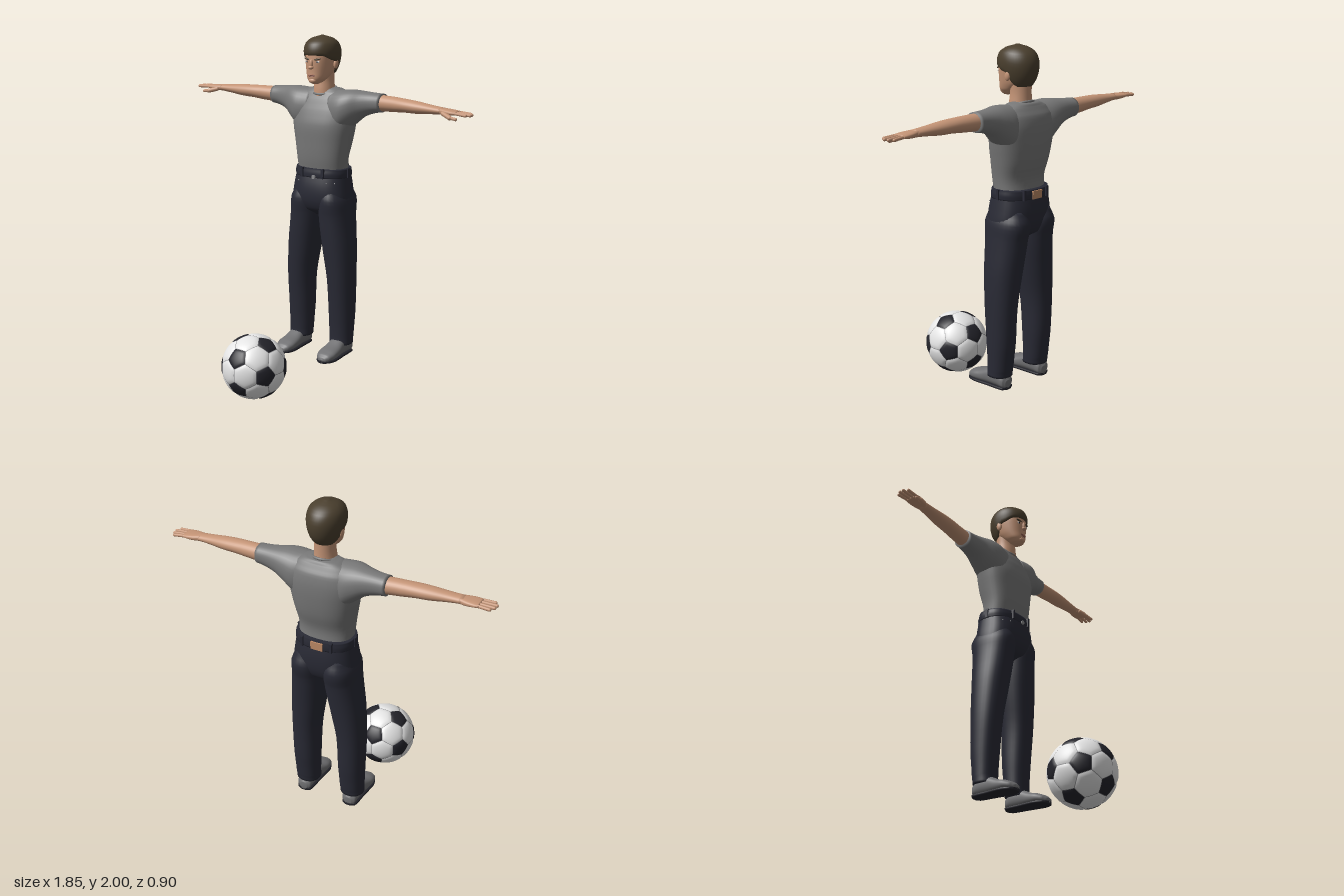
import * as THREE from 'three';
import { mergeVertices, mergeGeometries } from 'three/addons/utils/BufferGeometryUtils.js';

const V = (x, y, z) => new THREE.Vector3(x, y, z);
const material = (name, color) => {
  const m = new THREE.MeshStandardMaterial({ color });
  m.name = name;
  return m;
};

// Catmull-Rom smoothing of a table of cross-section rows
function smooth(rows, steps = 4) {
  const out = [];
  for (let i = 0; i < rows.length - 1; i++) {
    const p = [rows[Math.max(i - 1, 0)], rows[i], rows[i + 1], rows[Math.min(i + 2, rows.length - 1)]];
    for (let k = 0; k < steps; k++) {
      const t = k / steps;
      out.push(rows[i].map((_, c) => {
        const [a, b, d, e] = p.map(r => r[c]);
        if (c === 0) return b + (d - b) * t;
        return b + 0.5 * t * (d - a + t * (2 * a - 5 * b + 4 * d - e + t * (3 * (b - d) + e - a)));
      }));
    }
  }
  out.push(rows[rows.length - 1]);
  return out;
}

// Linear lookup in a table sorted by its first column
function sample(rows, t) {
  let i = 0;
  while (i < rows.length - 2 && rows[i + 1][0] < t) i++;
  const k = THREE.MathUtils.clamp((t - rows[i][0]) / (rows[i + 1][0] - rows[i][0]), 0, 1);
  return rows[i].map((v, c) => v + (rows[i + 1][c] - v) * k);
}

// Closed, outward-facing skin over rings of points
function skinRings(rings) {
  const n = rings[0].length, pts = rings.flat(), idx = [];
  for (let r = 0; r < rings.length - 1; r++) for (let i = 0; i < n; i++) {
    const a = r * n + i, b = r * n + (i + 1) % n;
    idx.push(a, b, a + n, b, b + n, a + n);
  }
  for (const [r, flip] of [[0, true], [rings.length - 1, false]]) {
    const c = pts.length;
    pts.push(rings[r].reduce((s, p) => s.add(p), V(0, 0, 0)).divideScalar(n));
    for (let i = 0; i < n; i++) {
      const a = r * n + i, b = r * n + (i + 1) % n;
      flip ? idx.push(c, b, a) : idx.push(c, a, b);
    }
  }
  let volume = 0;
  for (let i = 0; i < idx.length; i += 3)
    volume += pts[idx[i]].dot(V(0, 0, 0).crossVectors(pts[idx[i + 1]], pts[idx[i + 2]]));
  if (volume < 0) idx.reverse();
  const g = new THREE.BufferGeometry().setFromPoints(pts);
  g.setIndex(idx);
  g.computeVertexNormals();
  return g;
}

// Superellipse sections along an axis; row = [position, min1, max1, min2, max2]
function loft(axis, rows, power = 2, segments = 32) {
  return skinRings(smooth(rows).map(([t, a0, a1, b0, b1]) => Array.from({ length: segments }, (_, i) => {
    const q = i / segments * Math.PI * 2, c = Math.cos(q), s = Math.sin(q);
    const a = (a0 + a1) / 2 + (a1 - a0) / 2 * Math.sign(c) * Math.abs(c) ** (2 / power);
    const b = (b0 + b1) / 2 + (b1 - b0) / 2 * Math.sign(s) * Math.abs(s) ** (2 / power);
    return axis === 'y' ? V(a, t, b) : axis === 'x' ? V(t, a, b) : V(a, b, t);
  })));
}

// Football panel: a fan of the polygon, subdivided and puffed onto the sphere
function panel(corners, R) {
  const mid = corners.reduce((s, p) => s.add(p), V(0, 0, 0)).divideScalar(corners.length), tris = [];
  const N = 6, put = (a, b, i, j) => {
    const p = mid.clone().addScaledVector(a.clone().sub(mid), 0.97 * i / N).addScaledVector(b.clone().sub(mid), 0.97 * j / N);
    return p.setLength(R * (1 - 0.02 * ((i + j) / N) ** 8));
  };
  corners.forEach((p, k) => {
    let a = p, b = corners[(k + 1) % corners.length];
    if (V(0, 0, 0).crossVectors(a, b).dot(mid) < 0) [a, b] = [b, a];
    for (let i = 0; i < N; i++) for (let j = 0; j < N - i; j++) {
      tris.push(put(a, b, i, j), put(a, b, i + 1, j), put(a, b, i, j + 1));
      if (i + j < N - 1) tris.push(put(a, b, i + 1, j), put(a, b, i + 1, j + 1), put(a, b, i, j + 1));
    }
  });
  const g = mergeVertices(new THREE.BufferGeometry().setFromPoints(tris), 1e-5);
  g.computeVertexNormals();
  return g;
}

export function createModel() {
  const root = new THREE.Group();
  const skin = material('skin', 0xc49476), shirt = material('grey cloth', 0x787878), denim = material('dark denim', 0x292a35);
  const hair = material('brown hair', 0x4a3f2e), shoe = material('shoe grey', 0x717173), white = material('white', 0xe4e4e4);
  const black = material('black', 0x24242b), leather = material('leather', 0xbd8a66), lip = material('lip', 0x9a6353), steel = material('seam grey', 0x8c8c8e);
  const add = (name, geo, mat, x = 0, y = 0, z = 0) => {
    const m = new THREE.Mesh(geo, mat);
    m.name = name;
    m.position.set(x, y, z);
    root.add(m);
    return m;
  };
  const blob = (name, mat, p, s) => {
    const m = add(name, new THREE.SphereGeometry(1, 20, 14), mat, ...p);
    m.scale.set(...s);
    return m;
  };
  const rod = (name, a, b, r) => {
    const d = b.clone().sub(a), m = add(name, new THREE.CapsuleGeometry(r, d.length(), 5, 10), skin);
    m.position.copy(a).lerp(b, 0.5);
    m.quaternion.setFromUnitVectors(V(0, 1, 0), d.normalize());
  };

  // Football: truncated icosahedron
  const phi = (1 + Math.sqrt(5)) / 2, ico = [], pent = [], hex = [];
  for (const a of [-1, 1]) for (const b of [-phi, phi]) ico.push(V(0, a, b), V(a, b, 0), V(b, 0, a));
  const near = (a, b) => Math.abs(a.distanceTo(b) - 2) < 0.01, third = (a, b) => a.clone().lerp(b, 1 / 3);
  ico.forEach((v, i) => {
    const around = ico.filter(n => near(v, n)), ring = [around[0]];
    while (ring.length < 5) ring.push(around.find(n => !ring.includes(n) && near(n, ring[ring.length - 1])));
    pent.push(panel(ring.map(n => third(v, n)), 0.184));
    for (let j = i + 1; j < 12; j++) for (let k = j + 1; k < 12; k++) {
      const b = ico[j], c = ico[k];
      if (near(v, b) && near(b, c) && near(v, c))
        hex.push(panel([third(v, b), third(b, v), third(b, c), third(c, b), third(c, v), third(v, c)], 0.184));
    }
  });
  add('ballSeams', new THREE.SphereGeometry(0.1795, 48, 32), steel, -0.075, 0.184, 0.267);
  add('ballWhitePanels', mergeGeometries(hex), white, -0.075, 0.184, 0.267);
  add('ballBlackPanels', mergeGeometries(pent), black, -0.075, 0.184, 0.267);

  // Shirt body, collar and neck
  add('shirtBody', loft('y', [
    [1.2, -.15, .15, -.415, -.21], [1.3, -.155, .155, -.405, -.195], [1.4, -.172, .172, -.43, -.19],
    [1.5, -.19, .19, -.442, -.19], [1.58, -.2, .2, -.442, -.212], [1.64, -.185, .185, -.43, -.237],
    [1.68, -.15, .15, -.405, -.258], [1.7, -.1, .1, -.392, -.275], [1.708, -.06, .06, -.37, -.29]], 2.4, 40), shirt);
  const collar = add('collar', new THREE.TorusGeometry(0.066, 0.007, 10, 40), shirt, 0, 1.69, -.314);
  collar.rotation.x = Math.PI / 2 + 0.3;
  add('neck', loft('y', [[1.64, -.066, .066, -.38, -.247], [1.7, -.06, .06, -.372, -.25],
    [1.75, -.056, .056, -.37, -.255], [1.81, -.058, .058, -.37, -.25]]), skin);

  // Head and hair
  add('head', loft('y', [
    [1.733, -.02, .02, -.24, -.2], [1.742, -.036, .036, -.27, -.187], [1.765, -.055, .055, -.31, -.18],
    [1.8, -.069, .069, -.36, -.18], [1.84, -.078, .078, -.385, -.179], [1.88, -.083, .083, -.39, -.18],
    [1.92, -.083, .083, -.39, -.186], [1.96, -.065, .065, -.36, -.21], [1.98, -.03, .03, -.32, -.25]], 2.2), skin);
  const crown = smooth([[1.77, .058, -.365, -.25], [1.82, .082, -.397, -.195], [1.87, .096, -.411, -.176], [1.92, .099, -.409, -.171],
    [1.96, .087, -.388, -.187], [1.985, .058, -.35, -.226], [1.999, .012, -.3, -.275]]);
  const hairline = [[-1, 1.785], [-.5, 1.785], [-.2, 1.8], [.05, 1.86], [.4, 1.868], [.75, 1.89], [1, 1.892]];
  const hairRing = (t, shrink) => Array.from({ length: 48 }, (_, i) => {
    const q = i / 48 * Math.PI * 2, low = sample(hairline, Math.sin(q))[1];
    const y = low + (1.999 - low) * Math.sin(t * Math.PI / 2);
    const [, w, back, front] = sample(crown, y), mid = (front + back) / 2;
    return V(w * shrink * Math.cos(q), y, mid + (front - back) / 2 * shrink * Math.sin(q));
  });
  add('hair', skinRings([hairRing(0, 0.8), hairRing(0, 0.95), ...Array.from({ length: 15 }, (_, i) => hairRing((i + .5) / 14.5, 1))]), hair);

  // Face
  blob('noseBridge', skin, [0, 1.843, -.18], [.011, .03, .012]);
  blob('noseTip', skin, [0, 1.826, -.175], [.016, .011, .015]);
  blob('upperLip', lip, [0, 1.783, -.18], [.025, .004, .005]);
  blob('lowerLip', lip, [0, 1.776, -.18], [.02, .004, .005]);
  blob('chin', skin, [0, 1.752, -.19], [.024, .014, .014]);
  for (const s of [-1, 1]) {
    blob('eye', white, [s * .034, 1.857, -.189], [.014, .005, .005]);
    blob('pupil', black, [s * .034, 1.857, -.186], [.005, .005, .003]);
    const brow = blob('eyebrow', hair, [s * .036, 1.872, -.187], [.021, .005, .007]);
    brow.rotation.set(0, s * .25, s * .18);
    blob('ear', skin, [s * .086, 1.843, -.298], [.011, .028, .018]).rotation.x = -.15;
  }

  // Trousers: hips, waistband and trim
  add('hips', loft('y', [[1.245, -.158, .158, -.425, -.2], [1.15, -.172, .172, -.44, -.18], [1.07, -.183, .183, -.438, -.178],
    [1.01, -.182, .182, -.415, -.2], [.975, -.11, .11, -.36, -.25]], 2.5, 40), denim);
  add('waistband', loft('y', [[1.2, -.166, .166, -.433, -.19], [1.225, -.168, .168, -.433, -.19], [1.252, -.164, .164, -.429, -.195]], 2.4, 40), denim);
  add('backPatch', new THREE.BoxGeometry(.07, .044, .009), leather, -.005, 1.222, -.433);
  add('waistButton', new THREE.CylinderGeometry(.012, .012, .008, 16).rotateX(Math.PI / 2), steel, .012, 1.205, -.187);
  for (const [x, z] of [[.07, -.195], [-.07, -.195], [.165, -.31], [-.165, -.31], [.085, -.425], [-.085, -.425]])
    add('beltLoop', new THREE.BoxGeometry(.014, .055, .018), denim, x, 1.227, z);

  for (const s of [-1, 1]) {
    const shift = s < 0 ? -.012 : 0;
    const X = rows => rows.map(([t, a, b, ...r]) => [t, s * a, s * b, ...r]);
    // Legs, with the cuff of each trouser leg
    add(s > 0 ? 'leftLeg' : 'rightLeg', loft('y', X([
      [1.14, .02, .16, -.425, -.2], [1.07, .003, .186, -.452, -.177], [.98, .002, .194, -.435, -.185],
      [.8, .022, .21, -.415, -.198], [.6, .052, .214, -.4, -.215], [.4, .06, .211, -.392, -.232],
      [.25, .066, .206, -.376, -.24], [.205, .068, .205, -.37, -.237]])
      .map(([y, a, b, ...r]) => { const k = shift * Math.min(1, Math.max(0, (1 - y) / .4)); return [y, a + k, b + k, ...r]; }), 2.2), denim);
    for (const x of [.095, .135])
      add('pocketRivet', new THREE.SphereGeometry(.004, 8, 6), steel, s * x, 1.175, x < .1 ? -.195 : -.22);

    // Shoe and sole
    const cx = .14 * s + shift;
    const foot = [[-.372, .02, .19], [-.36, .041, .21], [-.32, .047, .245], [-.26, .05, .242], [-.2, .056, .216],
      [-.15, .058, .203], [-.11, .045, .187], [-.092, .026, .172], [-.087, .008, .16]];
    add('shoe', loft('z', foot.map(([z, w, y]) => [z, cx - w, cx + w, .143, y]), 2.4), shoe);
    add('sole', loft('z', foot.map(([z, w]) => [z, cx - w - .001, cx + w + .001, .136, .154]), 4), black);

    // Sleeve: [x, bottom, top, back, front]
    add('sleeve', loft('x', [[.06, 1.45, 1.695, -.41, -.23], [.14, 1.46, 1.7, -.425, -.215], [.195, 1.505, 1.702, -.42, -.23],
      [.25, 1.55, 1.697, -.41, -.262], [.31, 1.575, 1.692, -.402, -.283], [.37, 1.586, 1.689, -.399, -.289]]
      .map(([x, ...r]) => [s * x, ...r]), 2.2), shirt);

    // Arm and palm, the left one hanging slightly lower
    const rise = x => -s * .035 * Math.max(0, x - .37);
    const arm = rows => rows.map(([x, y0, y1, ...r]) => [s * x, y0 + rise(x), y1 + rise(x), ...r]);
    add('arm', loft('x', arm([[.33, 1.592, 1.683, -.393, -.297], [.45, 1.598, 1.681, -.383, -.291], [.52, 1.604, 1.678, -.378, -.285],
      [.59, 1.606, 1.674, -.372, -.284], [.68, 1.615, 1.665, -.36, -.287], [.76, 1.621, 1.659, -.354, -.288]])), skin);
    add('palm', loft('x', arm([[.74, 1.622, 1.658, -.352, -.29], [.78, 1.622, 1.656, -.36, -.28],
      [.82, 1.625, 1.653, -.362, -.275], [.845, 1.629, 1.65, -.36, -.279]]), 2.6), skin);
    [[.908, -.35], [.924, -.33], [.927, -.308], [.912, -.287]].forEach(([tip, z]) =>
      rod('finger', V(s * .83, 1.64 + rise(.83), z), V(s * (tip - .008), 1.636 + rise(tip), z + (z + .32) * .15), .0085));
    rod('thumb', V(s * .77, 1.632 + rise(.77), -.288), V(s * .82, 1.617 + rise(.82), -.268), .013);
    rod('thumbTip', V(s * .82, 1.617 + rise(.82), -.268), V(s * .855, 1.613 + rise(.85), -.266), .009);
  }
  return root;
}
